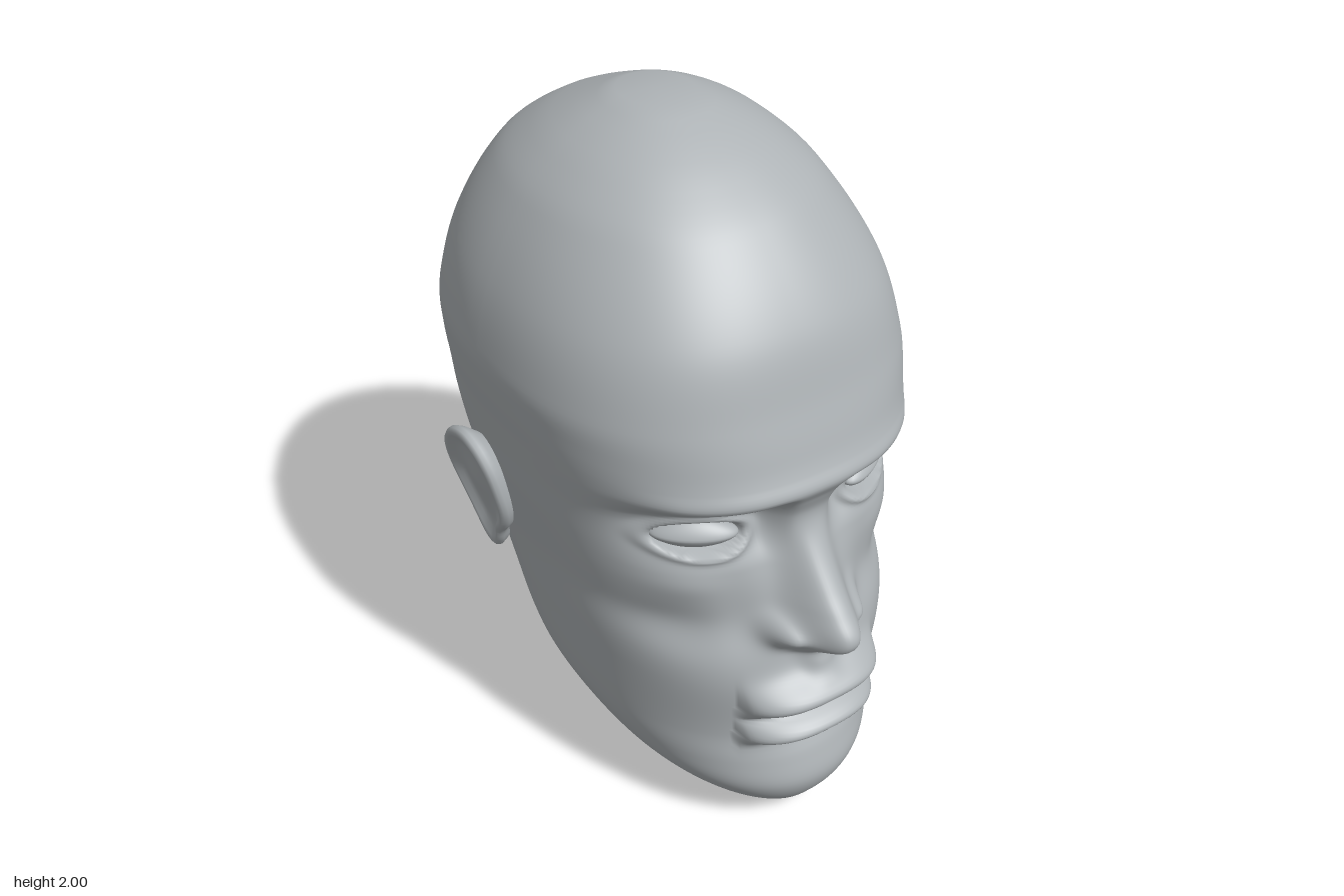
import * as THREE from 'three';

// Head levels: y, half width, front z, back z, z of the widest point
const LEVELS = [
  [0, .08, .43, .10, .27], [.05, .18, .64, -.10, .28], [.1, .26, .70, -.17, .27],
  [.2, .36, .745, -.31, .22], [.3, .42, .725, -.42, .15], [.4, .455, .70, -.50, .08],
  [.6, .48, .70, -.585, 0], [.8, .50, .655, -.70, -.05], [1, .53, .615, -.80, -.08],
  [1.1, .54, .625, -.825, -.1], [1.2, .55, .665, -.833, -.1], [1.3, .563, .642, -.83, -.1],
  [1.4, .567, .61, -.81, -.1], [1.6, .515, .54, -.73, -.1], [1.8, .40, .385, -.59, -.1],
  [1.9, .295, .25, -.445, -.1], [1.96, .195, .13, -.31, -.1], [2, .1, .016, -.207, -.1],
];
// Nose: y, height above the face, half width
const NOSE = [
  [.58, 0, .05], [.64, .03, .05], [.68, .035, .06], [.70, .06, .075], [.73, .115, .085],
  [.76, .165, .088], [.8, .18, .085], [.85, .15, .08], [.9, .115, .075], [1, .055, .065],
  [1.08, .012, .06], [1.16, 0, .06],
];
const EYE = { x: .275, y: 1.065, z: .49 };

// Smooth interpolation of column c in a table keyed by its first column
function sample(table, y, c) {
  const last = table.length - 1;
  if (y <= table[0][0]) return table[0][c];
  if (y >= table[last][0]) return table[last][c];
  let i = 0;
  while (y > table[i + 1][0]) i++;
  const slope = k => {
    const a = table[Math.max(k - 1, 0)], b = table[Math.min(k + 1, last)];
    return (b[c] - a[c]) / (b[0] - a[0]);
  };
  const p = table[i], q = table[i + 1], h = q[0] - p[0], t = (y - p[0]) / h, t2 = t * t, t3 = t2 * t;
  return (2 * t3 - 3 * t2 + 1) * p[c] + (t3 - 2 * t2 + t) * h * slope(i)
    + (3 * t2 - 2 * t3) * q[c] + (t3 - t2) * h * slope(i + 1);
}
const bump = (v, centre, size) => Math.exp(-(((v - centre) / size) ** 2));
const step = THREE.MathUtils.smoothstep;

// Closed rings of points joined into one smooth skin
function loft(rings, flip) {
  const n = rings[0].length, index = [];
  for (let r = 0; r < rings.length - 1; r++) {
    for (let i = 0; i < n; i++) {
      const a = r * n + i, b = r * n + (i + 1) % n, c = a + n, d = b + n;
      if (flip) index.push(a, c, b, b, c, d);
      else index.push(a, b, c, b, d, c);
    }
  }
  const g = new THREE.BufferGeometry();
  g.setAttribute('position', new THREE.Float32BufferAttribute(rings.flat().flatMap(p => p.toArray()), 3));
  g.setIndex(index);
  g.computeVertexNormals();
  return g;
}

// Forward shift of the facial surface at x, y
function features(x, y) {
  const ax = Math.abs(x);
  // nose and nostril wings
  const w = sample(NOSE, y, 2);
  let z = sample(NOSE, y, 1) * Math.exp(-((ax / w) ** 2.6));
  z += .06 * bump(ax, .118, .036) * bump(y, .772, .042);
  // brow overhang, eye socket
  const browSpan = step(ax, .05, .13) * (1 - step(ax, .38, .5));
  z -= .05 * browSpan * step(y, .96, 1.12) * (1 - step(y, 1.13, 1.205));
  z += .012 * (1 - step(ax, .35, .48)) * bump(y, 1.21, .03);
  z -= .02 * bump(ax, .13, .05) * bump(y, 1.05, .09);
  // eyelids and eye opening
  const d = Math.hypot((ax - EYE.x) / .105, (y - EYE.y) / .05);
  z += .014 * bump(d, 1.2, .2);
  z -= .045 * (1 - step(d, .82, 1.02));
  // cheekbones and hollows
  z += .012 * bump(ax, .34, .1) * bump(y, .93, .05);
  z -= .04 * bump(ax, .36, .12) * bump(y, .78, .075);
  z -= .015 * bump(ax, .2, .06) * bump(y, .8, .1);
  // lips and mouth line
  const span = Math.sqrt(Math.max(0, 1 - (ax / .225) ** 4));
  const line = .492 - .4 * ax * ax;
  z += span * (.085 * bump(y, line + .066, .05) + .085 * bump(y, line - .05, .042));
  z -= .02 * span * bump(y, line, .012);
  z -= .012 * bump(ax, 0, .15) * bump(y, .36, .04);
  return z;
}

function headGeometry() {
  const angles = [], heights = [], rings = [];
  for (let i = 0; i < 170; i++) angles.push(-Math.PI / 2 + Math.PI * i / 170);
  for (let i = 0; i < 50; i++) angles.push(Math.PI / 2 + Math.PI * i / 50);
  for (let i = 0; i < 28; i++) heights.push(.35 * (i / 28) ** 1.3);
  for (let i = 0; i < 110; i++) heights.push(.35 + .9 * i / 110);
  for (let i = 0; i <= 40; i++) heights.push(1.25 + .75 * i / 40);
  for (const y of heights) {
    const [w, zf, zb, zc] = [1, 2, 3, 4].map(c => sample(LEVELS, y, c));
    const nFront = 2.15 + .35 * step(y, .3, .8) - .3 * step(y, 1.4, 1.9);
    rings.push(angles.map(a => {
      const s = Math.sin(a), c = Math.cos(a), n = c > 0 ? nFront : 2;
      const r = (Math.abs(s) ** n + Math.abs(c) ** n) ** (-1 / n);
      const x = w * r * s;
      let z = zc + r * c * (c > 0 ? zf - zc : zc - zb);
      if (c > 0) z += features(x, y) * step(c, .1, .45);
      return new THREE.Vector3(x, y, z);
    }));
  }
  // flat caps on the crown and under the chin
  const cap = (y, z) => angles.map(() => new THREE.Vector3(0, y, z));
  return loft([cap(0, .27), ...rings, cap(2, -.1)], false);
}

// Ear outline (z, y) and its rings from the root over the rim into the bowl
const EAR = [
  [-.05, .95], [-.06, 1.03], [-.10, 1.09], [-.16, 1.115], [-.24, 1.085], [-.30, 1], [-.333, .88],
  [-.32, .79], [-.29, .70], [-.26, .645], [-.21, .63], [-.17, .67], [-.14, .73], [-.09, .79], [-.06, .86],
];
const EAR_RINGS = [
  [.6, -.11], [.8, -.07], [.95, -.035], [1, -.015], [.985, -.002], [.93, .006], [.85, .001],
  [.76, -.014], [.6, -.024], [.35, -.024], [.15, -.02], [0, -.02],
];
function earGeometry(side) {
  const outline = new THREE.CatmullRomCurve3(EAR.map(([z, y]) => new THREE.Vector3(0, y, z)), true).getPoints(60).slice(0, 60);
  const rings = EAR_RINGS.map(([s, out]) => outline.map(p => {
    const y = .9 + (p.y - .9) * s, z = -.2 + (p.z + .2) * s;
    // leans outward toward the top and bulges away from the head at mid depth
    const lean = .5 + .105 * step(y, .55, 1.1) - .8 * (z + .22) ** 2;
    return new THREE.Vector3(side * (lean + out), y, z);
  }));
  return loft(rings, side > 0);
}

// Eyeball with a soft horizontal ridge and pointed corners
function eyeGeometry() {
  const g = new THREE.SphereGeometry(1, 40, 28);
  const p = g.attributes.position;
  for (let i = 0; i < p.count; i++) {
    const x = p.getX(i), y = p.getY(i), z = p.getZ(i);
    p.setXYZ(i, x * .118, y * .046 * (1 - .35 * x * x), z * .05 * (1 - .25 * Math.abs(y)));
  }
  g.computeVertexNormals();
  return g;
}

export function createModel() {
  const model = new THREE.Group();
  model.name = 'mannequinHead';
  const grey = new THREE.MeshStandardMaterial({ color: 0xadb2b5 });
  grey.name = 'plain grey';
  const add = (name, geometry) => {
    const mesh = new THREE.Mesh(geometry, grey);
    mesh.name = name;
    model.add(mesh);
    return mesh;
  };
  add('head', headGeometry());
  for (const side of [1, -1]) {
    const label = side > 0 ? 'left' : 'right';
    add(label + 'Ear', earGeometry(side));
    const eye = add(label + 'Eye', eyeGeometry());
    eye.position.set(side * EYE.x, EYE.y, EYE.z);
    eye.rotation.y = side * .6;
  }
  return model;
}
